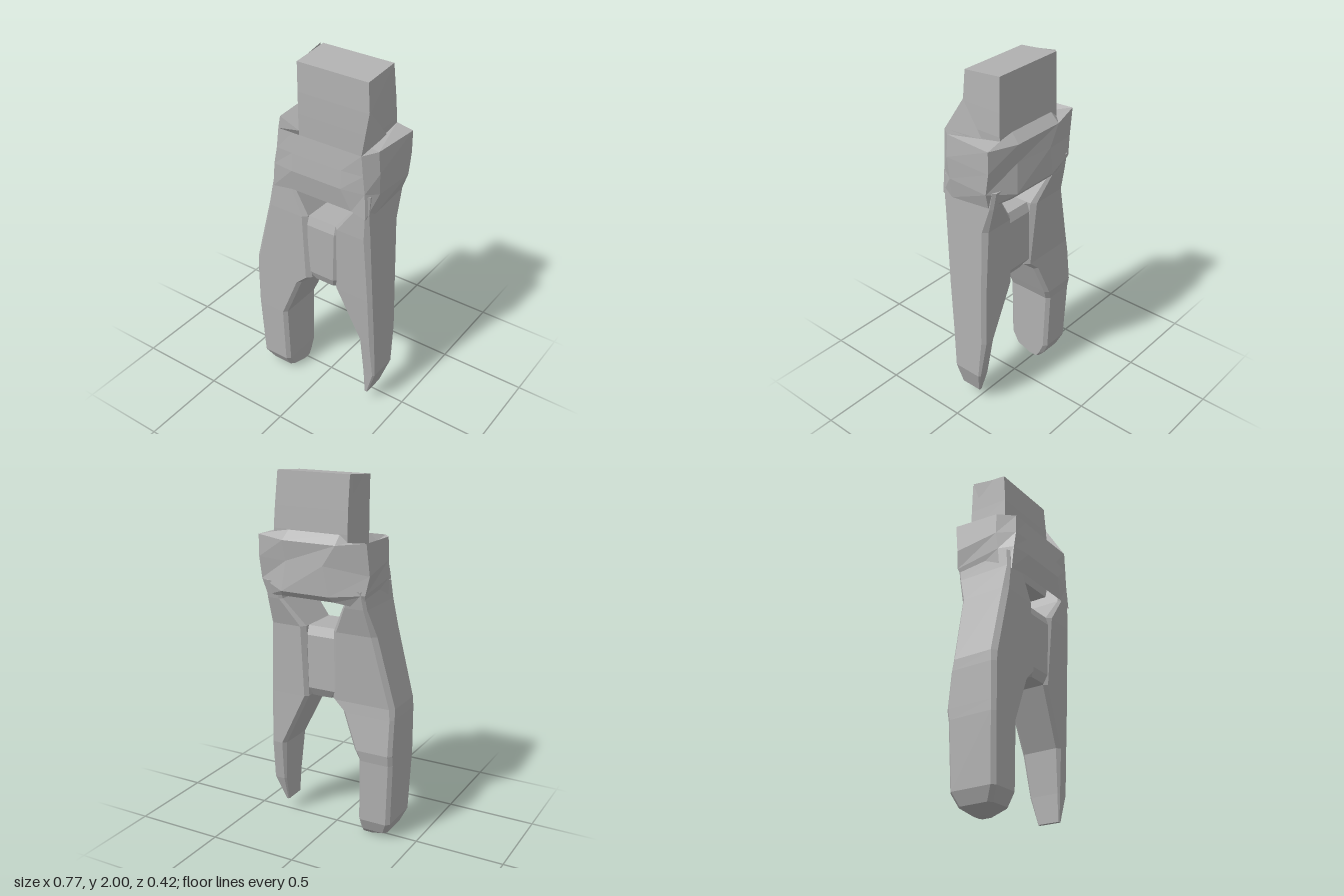
import * as THREE from 'three';

// Loft closed rings (listed bottom to top, each running front, +x, back, -x) into a faceted skin.
function loft(rings, capBottom = true, capTop = true) {
  const out = [];
  const tri = (a, b, c) => out.push(...a, ...b, ...c);
  const n = rings[0].length;
  for (let i = 0; i < rings.length - 1; i++) {
    for (let j = 0; j < n; j++) {
      const k = (j + 1) % n;
      tri(rings[i][j], rings[i][k], rings[i + 1][k]);
      tri(rings[i][j], rings[i + 1][k], rings[i + 1][j]);
    }
  }
  const first = rings[0], last = rings[rings.length - 1];
  for (let j = 1; j < n - 1; j++) {
    if (capBottom) tri(first[0], first[j + 1], first[j]);
    if (capTop) tri(last[0], last[j], last[j + 1]);
  }
  return faceted(out);
}

function faceted(positions) {
  const g = new THREE.BufferGeometry();
  g.setAttribute('position', new THREE.Float32BufferAttribute(positions, 3));
  g.computeVertexNormals();
  return g;
}

// Chamfered rectangular ring at height y.
function ring([y, x0, x1, z0, z1, c = 0.02]) {
  return [
    [x0 + c, y, z1], [x1 - c, y, z1], [x1, y, z1 - c], [x1, y, z0 + c],
    [x1 - c, y, z0], [x0 + c, y, z0], [x0, y, z0 + c], [x0, y, z1 - c],
  ];
}

export function createModel() {
  const model = new THREE.Group();
  const grey = new THREE.MeshStandardMaterial({ color: 0xb0b0b0, side: THREE.DoubleSide });
  grey.name = 'stone grey';
  const add = (name, geometry) => {
    const mesh = new THREE.Mesh(geometry, grey);
    mesh.name = name;
    model.add(mesh);
  };

  // Wide leg with a rounded foot
  add('rightLeg', loft([
    [0.0, -0.25, -0.18, -0.03, 0.04, 0.01],
    [0.03, -0.34, -0.18, -0.06, 0.14, 0.02],
    [0.1, -0.37, -0.18, -0.09, 0.18, 0.02],
    [0.46, -0.385, -0.185, -0.1, 0.19, 0.02],
    [0.52, -0.385, -0.16, -0.11, 0.19, 0.02],
    [0.72, -0.385, -0.08, -0.09, 0.19, 0.02],
    [0.78, -0.383, -0.01, -0.085, 0.19, 0.025],
    [1.17, -0.285, -0.03, -0.11, 0.19, 0.025],
    [1.32, -0.25, -0.11, -0.15, 0.185, 0.015],
    [1.42, -0.24, -0.16, -0.17, 0.175, 0.015],
  ].map(ring)));

  // Narrow leg tapering to a spike
  add('leftLeg', loft([
    [0.07, 0.31, 0.33, -0.02, 0.11, 0.005],
    [0.22, 0.302, 0.377, -0.065, 0.12, 0.01],
    [0.46, 0.28, 0.373, -0.1, 0.14, 0.02],
    [0.77, 0.13, 0.366, -0.1, 0.16, 0.02],
    [1.17, 0.14, 0.355, -0.11, 0.185, 0.025],
    [1.32, 0.255, 0.35, -0.15, 0.185, 0.015],
    [1.42, 0.28, 0.35, -0.17, 0.175, 0.015],
  ].map(ring)));

  // Block joining the legs
  add('bridge', loft([
    [0.77, -0.01, 0.14, -0.05, 0.15],
    [0.82, -0.05, 0.15, -0.08, 0.17],
    [1.12, -0.05, 0.16, -0.08, 0.175],
    [1.17, -0.05, 0.16, -0.06, 0.16],
  ].map(ring)));

  // Hollow torso, open above and below
  const level = (points) => points.map(([x, z, y]) => [x, y, z]);
  const collar = level([
    [-0.19, 0.19, 1.65], [-0.1, 0.19, 1.65], [0.2, 0.19, 1.65], [0.31, 0.19, 1.65], [0.365, 0.12, 1.66],
    [0.382, -0.16, 1.66], [0.21, -0.205, 1.65], [-0.1, -0.205, 1.65], [-0.26, -0.17, 1.67], [-0.25, 0.1, 1.66],
  ]);
  add('torso', loft([
    level([
      [-0.235, 0.19, 1.3], [-0.11, 0.19, 1.32], [0.255, 0.19, 1.32], [0.34, 0.19, 1.3], [0.35, 0.12, 1.3],
      [0.352, -0.13, 1.33], [0.23, -0.18, 1.35], [-0.08, -0.18, 1.35], [-0.23, -0.13, 1.32], [-0.245, 0.12, 1.28],
    ]),
    level([
      [-0.22, 0.195, 1.44], [-0.1, 0.208, 1.44], [0.2, 0.208, 1.44], [0.33, 0.185, 1.44], [0.37, 0.11, 1.42],
      [0.38, -0.14, 1.42], [0.22, -0.205, 1.38], [-0.06, -0.205, 1.38], [-0.25, -0.16, 1.4], [-0.25, 0.11, 1.44],
    ]),
    level([
      [-0.2, 0.195, 1.54], [-0.1, 0.2, 1.54], [0.2, 0.2, 1.54], [0.32, 0.188, 1.54], [0.375, 0.12, 1.54],
      [0.382, -0.16, 1.54], [0.2, -0.19, 1.54], [-0.03, -0.21, 1.54], [-0.27, -0.15, 1.5], [-0.255, 0.1, 1.54],
    ]),
    collar,
  ], false, false));

  // Box head dropping into the collar, back edge slightly raised
  const block = (y, x0, x1, z0, z1, rise = 0) =>
    [[x0, y, z1], [x1, y, z1], [x1, y + rise, z0], [x0, y + rise, z0]];
  add('head', loft([
    block(1.38, -0.14, 0.28, -0.15, 0.08),
    block(1.7, -0.145, 0.29, -0.155, 0.085),
    block(1.82, -0.145, 0.283, -0.15, 0.085),
    block(1.978, -0.15, 0.27, -0.14, 0.08, 0.02),
  ]));

  // Sloping collar flaps reaching the head at its back and sides
  const inner = [[0.29, 1.64, 0.08], [0.29, 1.68, -0.155], [0.2, 1.7, -0.152],
    [-0.1, 1.7, -0.152], [-0.145, 1.66, -0.155], [-0.145, 1.6, 0.08]];
  const flaps = [];
  for (let i = 0; i < 5; i++) {
    const a = collar[i + 4], b = collar[i + 5], c = inner[i], d = inner[i + 1];
    flaps.push(...a, ...b, ...d, ...a, ...d, ...c);
  }
  flaps.push(...collar[3], ...collar[4], ...inner[0], ...collar[0], ...inner[5], ...collar[9]);
  add('collarFlaps', faceted(flaps));

  // Gusset from the head's front edge down to the collar corner, and the peak on the other top corner
  add('neckGusset', faceted([
    0.283, 1.83, 0.085, 0.31, 1.65, 0.19, 0.29, 1.64, 0.08,
    0.283, 1.83, 0.085, 0.31, 1.65, 0.19, 0.3, 1.66, -0.05,
  ]));
  add('headPeak', faceted([-0.16, 2, -0.13, -0.148, 1.9, -0.1, -0.148, 1.98, 0.03]));
  return model;
}
